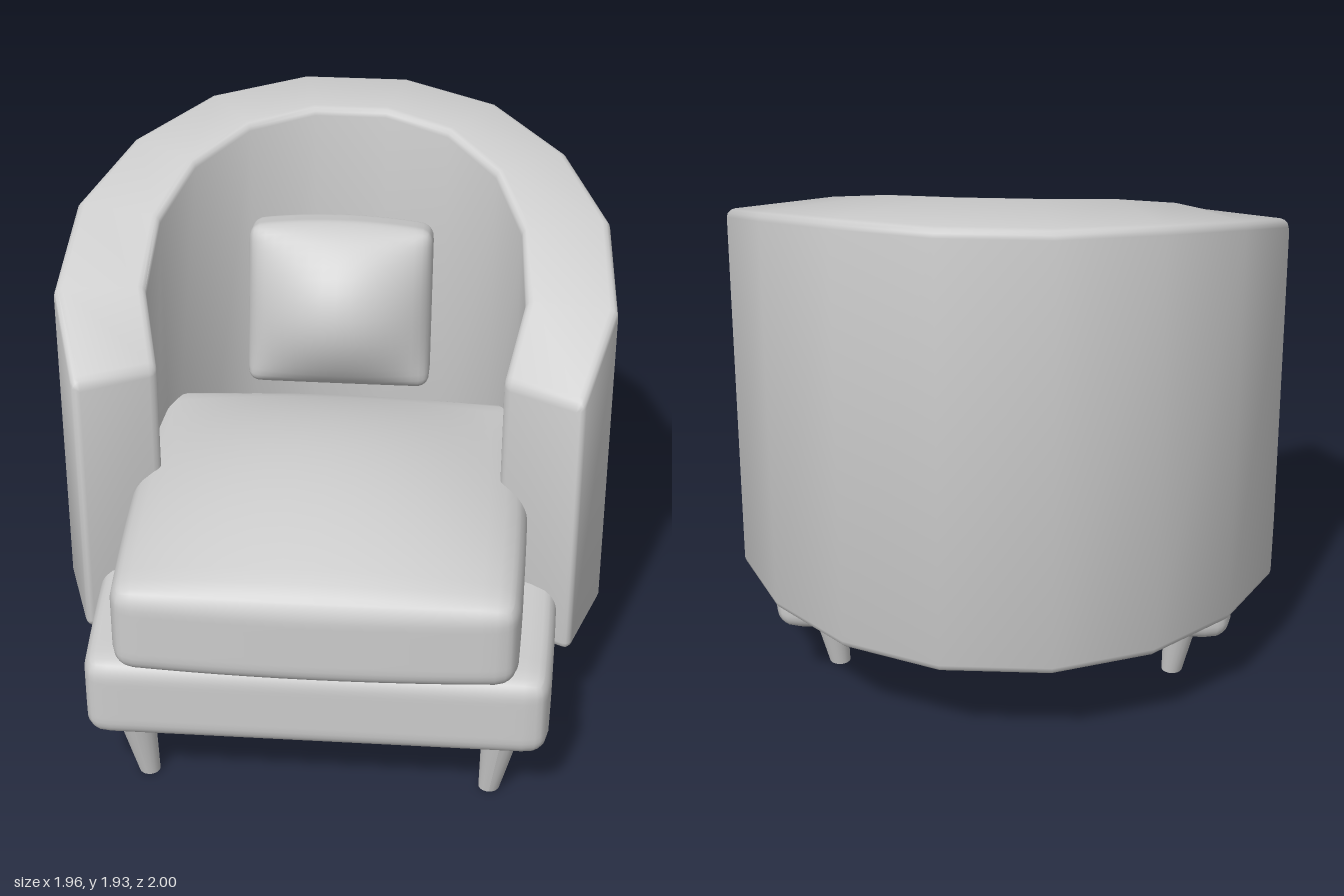
import * as THREE from 'three';
import { mergeVertices, toCreasedNormals } from 'three/addons/utils/BufferGeometryUtils.js';

// Rounded block with a grid denser near its edges; rule(p, u) reshapes it, u = position in -1..1
function softBlock(w, h, d, r, rule) {
  let geo = new THREE.BoxGeometry(2, 2, 2, 20, 20, 20);
  geo.deleteAttribute('uv');
  geo.deleteAttribute('normal');
  geo = mergeVertices(geo, 1e-4);
  const half = new THREE.Vector3(w / 2, h / 2, d / 2);
  const core = half.clone().subScalar(r);
  const pos = geo.attributes.position;
  const p = new THREE.Vector3(), inner = new THREE.Vector3(), u = new THREE.Vector3();
  const ease = (t) => Math.sin((t * Math.PI) / 2);
  for (let i = 0; i < pos.count; i++) {
    p.fromBufferAttribute(pos, i);
    p.set(ease(p.x), ease(p.y), ease(p.z)).multiply(half);
    inner.copy(p).clamp(core.clone().negate(), core);
    p.sub(inner).setLength(r).add(inner);
    u.copy(p).divide(half);
    rule(p, u);
    pos.setXYZ(i, p.x, p.y, p.z);
  }
  geo.computeVertexNormals();
  return geo;
}

// Curved back and arms: a rounded wall section carried round the seat, sloping down to the front
function shellGeometry() {
  const bottom = 0.345, r = 0.03;
  // outer x, outer z, inner x, inner z, top height
  const side = [
    [0.87, 0.415, 0.595, 0.27, 1.37],
    [0.98, 0.08, 0.66, 0.04, 1.565],
    [0.95, -0.29, 0.64, -0.2, 1.72],
    [0.79, -0.61, 0.54, -0.43, 1.83],
    [0.53, -0.86, 0.36, -0.6, 1.905],
    [0.19, -1.0, 0.13, -0.69, 1.935],
  ];
  // rounded ends: each step pulls back along the arm and grows to the full section
  const ends = [0, 30, 60, 90].map((deg) => {
    const a = (deg * Math.PI) / 180;
    const t = (r * (1 - Math.cos(a))) / 0.35;
    return { s: side[0].map((v, k) => v + (side[1][k] - v) * t), inset: r * (1 - Math.sin(a)) };
  });
  const halfRun = [...ends, ...side.slice(1).map((s) => ({ s, inset: 0 }))];
  const mirrored = halfRun.slice().reverse().map(({ s, inset }) => ({ s: [-s[0], s[1], -s[2], s[3], s[4]], inset }));
  const stations = [...halfRun, ...mirrored];

  const rings = stations.map(({ s: [ox, oz, ix, iz, top], inset }) => {
    const width = Math.hypot(ox - ix, oz - iz);
    const corners = [[width - r, bottom + r], [width - r, top - r], [r, top - r], [r, bottom + r]];
    const ring = [];
    corners.forEach(([cx, cy], c) => {
      for (let k = 0; k < 4; k++) {
        const a = (c - 1 + k / 3) * (Math.PI / 2);
        const o = (cx + (r - inset) * Math.cos(a)) / width;
        ring.push([ix + (ox - ix) * o, cy + (r - inset) * Math.sin(a), iz + (oz - iz) * o]);
      }
    });
    return ring;
  });

  const n = 16, verts = rings.flat(2), index = [];
  for (let i = 0; i < rings.length - 1; i++) {
    for (let j = 0; j < n; j++) {
      const a = i * n + j, b = i * n + ((j + 1) % n);
      index.push(a, a + n, b + n, a, b + n, b);
    }
  }
  const last = (rings.length - 1) * n;
  for (let j = 1; j < n - 1; j++) {
    index.push(0, j, j + 1, last, last + j + 1, last + j);
  }
  const geo = new THREE.BufferGeometry();
  geo.setAttribute('position', new THREE.Float32BufferAttribute(verts, 3));
  geo.setIndex(index);
  return toCreasedNormals(geo, 0.75);
}

export function createModel() {
  const group = new THREE.Group();
  const fabric = new THREE.MeshStandardMaterial({ color: 0xcccccc });
  fabric.name = 'light grey';
  const add = (name, geo, x, y, z) => {
    const mesh = new THREE.Mesh(geo, fabric);
    mesh.name = name;
    mesh.position.set(x, y, z);
    group.add(mesh);
    return mesh;
  };

  add('curvedBack', shellGeometry(), 0, 0, 0);

  // Seat base, slightly narrower toward front and back
  add('seatBase', softBlock(1.64, 0.325, 1.55, 0.075, (p, u) => {
    p.x *= 1 - 0.03 * u.z * u.z;
  }), 0, 0.42, 0.148);

  // Seat cushion with a crowned top and a gently bowed front
  add('seatCushion', softBlock(1.4, 0.34, 1.34, 0.075, (p, u) => {
    const across = 1 - u.x * u.x, along = 1 - u.z * u.z;
    if (p.y > 0) p.y += 0.165 * across * along * Math.min(1, u.y * 1.2);
    if (p.z > 0) p.z += 0.03 * across * u.z;
    p.x *= 1 - 0.025 * u.z * u.z;
  }), 0, 0.75, 0.3);

  // Leaning pillow, flat behind and puffed in front
  const pillow = add('pillow', softBlock(0.655, 0.58, 0.17, 0.045, (p, u) => {
    if (p.z > 0) p.z += 0.17 * (1 - u.x * u.x) * (1 - u.y * u.y) * u.z;
    if (p.y > 0) p.y += 0.025 * (1 - u.x * u.x) * u.y;
  }), 0, 1.38, -0.235);
  pillow.rotation.x = -0.22;

  // Tapered legs leaning in toward their feet
  for (const [end, z, lean] of [['front', 0.755, 0.035], ['back', -0.365, -0.035]]) {
    for (const [hand, sx] of [['Left', 1], ['Right', -1]]) {
      const geo = new THREE.CylinderGeometry(0.068, 0.037, 0.28, 20);
      geo.translate(0, 0.14, 0);
      const pos = geo.attributes.position;
      for (let i = 0; i < pos.count; i++) {
        const t = pos.getY(i) / 0.28;
        pos.setX(i, pos.getX(i) + sx * 0.035 * t);
        pos.setZ(i, pos.getZ(i) + lean * t);
      }
      geo.computeVertexNormals();
      add(`${end}${hand}Leg`, geo, sx * 0.605, 0, z);
    }
  }
  return group;
}
